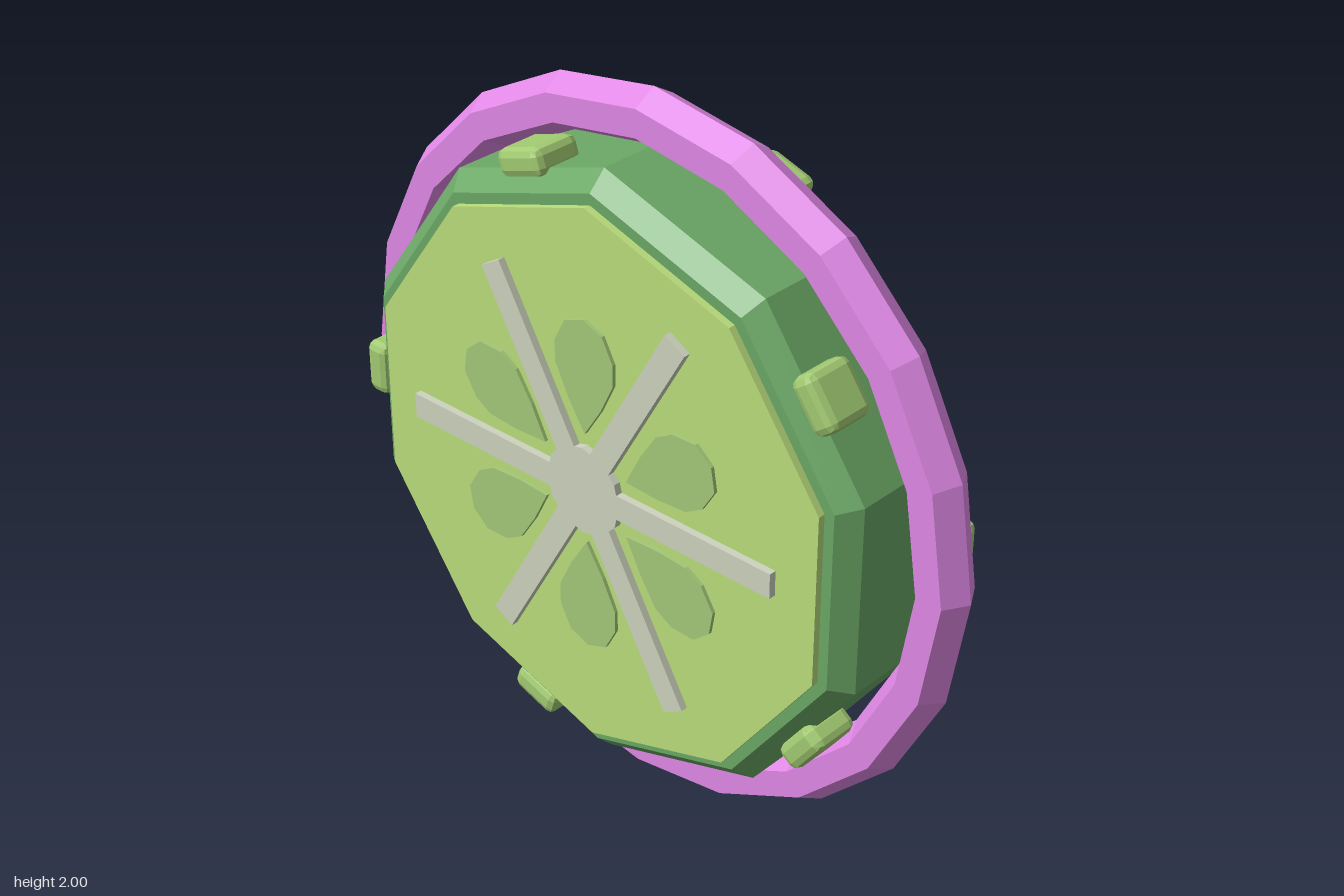
import * as THREE from 'three';
import { RoundedBoxGeometry } from 'three/addons/geometries/RoundedBoxGeometry.js';

const mat = (color) => new THREE.MeshStandardMaterial({ color, flatShading: true });
const materials = {
  ring: mat(0xe088e6), rind: mat(0x6ba866), flesh: mat(0xb9dd7b),
  pith: mat(0xcdd4be), seed: mat(0xa3c878), stud: mat(0xa2cb72),
};

function add(parent, name, geometry, material) {
  const mesh = new THREE.Mesh(geometry, material);
  mesh.name = name;
  parent.add(mesh);
  return mesh;
}

const extrude = (points, depth) => new THREE.ExtrudeGeometry(
  new THREE.Shape(points), { depth, bevelEnabled: false });

// Six spokes joined by a small hub, as one outline
function pithOutline() {
  const points = [], centre = new THREE.Vector2();
  for (let i = 0; i < 6; i++) {
    const a = i * Math.PI / 3;
    for (const [x, y] of [[0.115, -0.035], [0.61, -0.035], [0.61, 0.035], [0.115, 0.035]]) {
      points.push(new THREE.Vector2(x, y).rotateAround(centre, a));
    }
    points.push(new THREE.Vector2(0.125, 0).rotateAround(centre, a + Math.PI / 6));
  }
  return points;
}

// Teardrop pointing at the hub, lying along +x
function seedOutline() {
  const side = [[0.245, 0.055], [0.33, 0.097], [0.39, 0.097], [0.455, 0.062]];
  return [[0.16, 0], ...side.map(([x, y]) => [x, -y]), [0.478, 0],
    ...side.reverse()].map(([x, y]) => new THREE.Vector2(x, y));
}

// Everything on one face of the slice
function createFace(name) {
  const face = new THREE.Group();
  face.name = name;

  const flesh = add(face, 'flesh', new THREE.CylinderGeometry(0.77, 0.77, 0.04, 10), materials.flesh);
  flesh.rotation.x = Math.PI / 2;
  flesh.position.z = 0.22;

  add(face, 'pith', extrude(pithOutline(), 0.04), materials.pith).position.z = 0.22;

  const seedGeometry = extrude(seedOutline(), 0.03);
  for (let i = 0; i < 6; i++) {
    const seed = add(face, 'seed', seedGeometry, materials.seed);
    seed.position.z = 0.22;
    seed.rotation.z = Math.PI / 6 + i * Math.PI / 3;
  }

  // Studs sit on alternate flats of the rind
  const studGeometry = new RoundedBoxGeometry(0.075, 0.15, 0.145, 1, 0.022);
  for (let i = 0; i < 5; i++) {
    const a = Math.PI + i * Math.PI * 2 / 5;
    const stud = add(face, 'stud', studGeometry, materials.stud);
    stud.position.set(0.827 * Math.cos(a), 0.827 * Math.sin(a), 0.133);
    stud.rotation.z = a;
  }
  return face;
}

export function createModel() {
  const root = new THREE.Group();
  root.name = 'citrusWheel';
  const wheel = new THREE.Group();
  wheel.name = 'wheel';
  wheel.position.y = 1;
  root.add(wheel);

  // Outer ring with a hexagonal section
  add(wheel, 'outerRing', new THREE.TorusGeometry(0.925, 0.075, 6, 20), materials.ring);

  // Ten-sided rind with chamfered rims
  const profile = [[0, -0.22], [0.8, -0.22], [0.85, -0.17], [0.85, 0.17], [0.8, 0.22], [0, 0.22]]
    .map(([r, z]) => new THREE.Vector2(r, z));
  add(wheel, 'rind', new THREE.LatheGeometry(profile, 10), materials.rind).rotation.x = Math.PI / 2;

  // Matching faces, front and back
  wheel.add(createFace('frontFace'));
  const back = createFace('backFace');
  back.rotation.y = Math.PI;
  wheel.add(back);
  return root;
}
